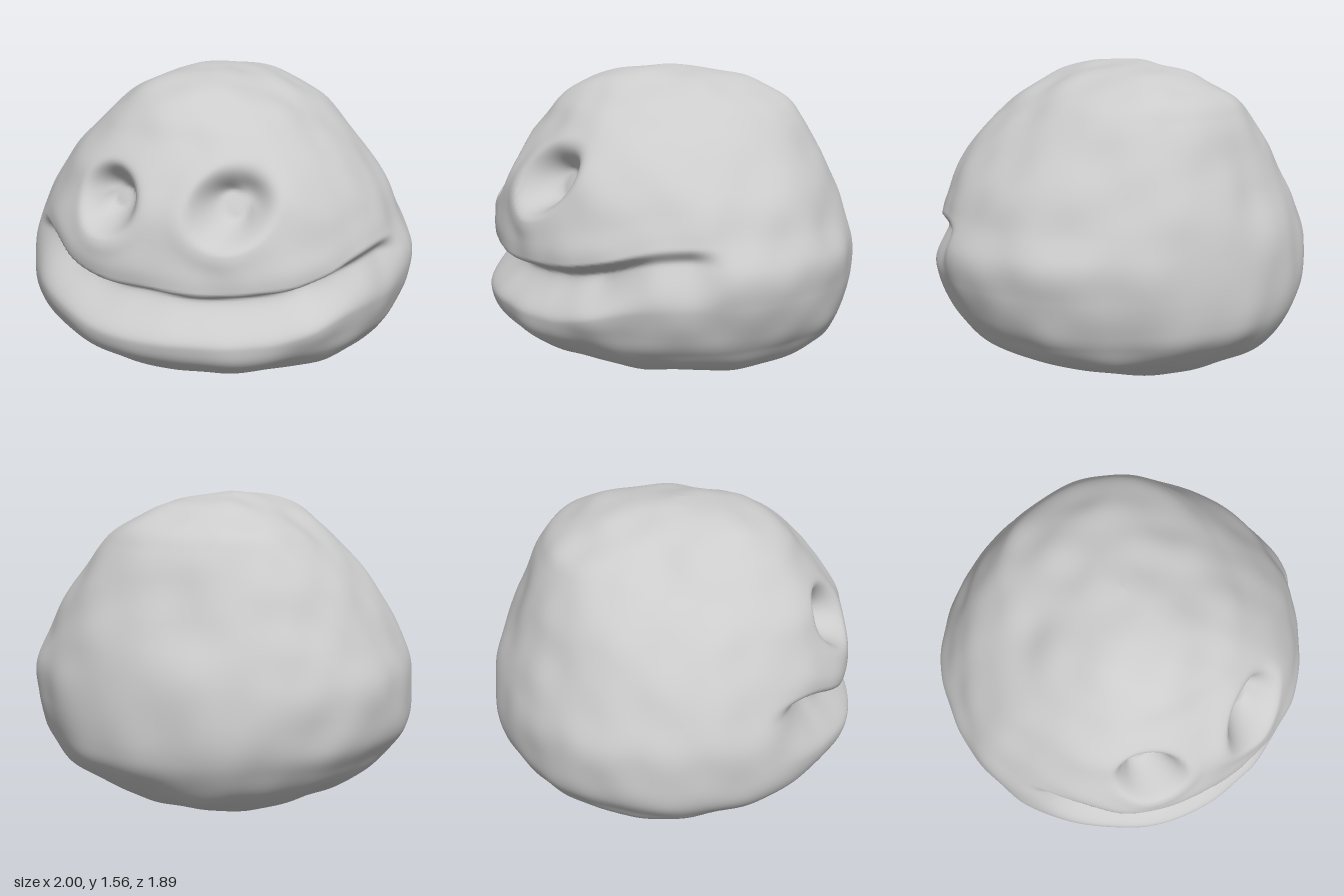
import * as THREE from 'three';

const { smoothstep } = THREE.MathUtils;

// Horizontal sections of the body: y, xMin, xMax, zMin, zMax
const SECTIONS = [
  [0.008, -0.1, -0.1, -0.15, -0.15],
  [0.015, -0.27, 0.05, -0.38, 0.15],
  [0.05, -0.48, 0.3, -0.57, 0.34],
  [0.12, -0.67, 0.57, -0.7, 0.53],
  [0.22, -0.84, 0.8, -0.82, 0.74],
  [0.32, -0.92, 0.89, -0.9, 0.88],
  [0.42, -0.98, 0.94, -0.93, 0.92],
  [0.55, -0.995, 0.98, -0.935, 0.935],
  [0.7, -0.98, 0.985, -0.92, 0.92],
  [0.85, -0.92, 0.91, -0.88, 0.91],
  [1.0, -0.84, 0.83, -0.81, 0.86],
  [1.15, -0.74, 0.71, -0.74, 0.78],
  [1.3, -0.6, 0.57, -0.67, 0.66],
  [1.4, -0.48, 0.45, -0.59, 0.57],
  [1.5, -0.3, 0.26, -0.4, 0.43],
  [1.548, -0.15, 0.09, -0.17, 0.23],
  [1.562, -0.03, -0.03, 0.05, 0.05],
];

// Eye sockets: centre, half width, half height, depth, direction of the sharp rim
const EYES = [
  { x: -0.27, y: 1.05, w: 0.165, h: 0.155, depth: 0.18, rim: [0.5, -0.87] },
  { x: 0.32, y: 1.06, w: 0.185, h: 0.175, depth: 0.18, rim: [-0.8, -0.6] },
];

const bump = (v, centre, width) => Math.exp(-(((v - centre) / width) ** 2));

// Outward offset from the mouth at angle a round the body (0 = front)
function mouthOffset(a, y) {
  const left = smoothstep(a, 0.55, 1.2);
  const right = smoothstep(-a, 0.15, 0.95);
  const line = 0.625 + 0.15 * right + 0.115 * left + 0.008 * Math.sin(9 * a + 2.5);
  const lip = 0.435 + 0.09 * right + 0.11 * left;
  const ends = smoothstep(a, -1.08, -0.6) * (1 - smoothstep(a, 1.3, 1.5));
  const depth = 0.13 - 0.07 * smoothstep(Math.abs(a), 0.8, 1.15);
  const groove = y > line
    ? 1 - smoothstep(y, line, line + 0.075)
    : smoothstep(y, lip, line);
  const lips = 0.025 * bump(y, lip - 0.03, 0.1) * (1 - left) + 0.01 * bump(y, line + 0.13, 0.07);
  return ends * (lips - depth * groove);
}

// Depth of the eye sockets, steeper along the rim direction
function eyeOffset(x, y, z) {
  if (z < 0) return 0;
  let offset = 0;
  for (const e of EYES) {
    const u = (x - e.x) / e.w;
    const v = (y - e.y) / e.h;
    const r = Math.hypot(u, v);
    const facing = (u * e.rim[0] + v * e.rim[1]) / Math.max(r, 0.001);
    const steep = smoothstep(facing, -0.6, 0.9);
    offset -= e.depth * (1 - smoothstep(r, 0.05 + 0.4 * steep, 1.15 - 0.1 * steep));
    offset += 0.012 * bump(r, 1.2, 0.3) * steep;
  }
  return offset;
}

// Hand-modelled unevenness: waves in directions spread over a sphere
const WAVES = Array.from({ length: 18 }, (_, k) => {
  const h = 1 - (2 * k + 1) / 18;
  const turn = k * 2.4;
  const s = Math.sqrt(1 - h * h);
  const order = (k * 7) % 18;
  return {
    dir: new THREE.Vector3(s * Math.cos(turn), h, s * Math.sin(turn)).multiplyScalar(6 + 1.5 * order),
    size: 0.0045 / (1 + 0.2 * order),
    phase: k * 1.7,
  };
});

function lumps(x, y, z) {
  return WAVES.reduce((sum, { dir, size, phase }) =>
    sum + size * Math.sin(dir.x * x + dir.y * y + dir.z * z + phase), 0);
}

function bodyGeometry(rows = 200, cols = 240) {
  const curve = (i, j) => new THREE.CatmullRomCurve3(
    SECTIONS.map((s) => new THREE.Vector3(s[0], s[i], s[j])), false, 'catmullrom', 0.5);
  const xCurve = curve(1, 2);
  const zCurve = curve(3, 4);
  const positions = [];
  const indices = [];

  for (let r = 0; r <= rows; r++) {
    const px = xCurve.getPoint(r / rows);
    const pz = zCurve.getPoint(r / rows);
    const y = px.x;
    const fullness = 0.03 * smoothstep(y, 0.75, 1.15);
    for (let c = 0; c < cols; c++) {
      const t = (c / cols) * Math.PI * 2;
      // The upper sections are slightly squarer than an ellipse
      const swell = 1 + fullness * Math.sin(2 * t) ** 2;
      let x = (px.y + px.z) / 2 + swell * Math.cos(t) * (px.z - px.y) / 2;
      let z = (pz.y + pz.z) / 2 + swell * Math.sin(t) * (pz.z - pz.y) / 2;
      const radius = Math.max(Math.hypot(x, z), 0.15);
      const eye = eyeOffset(x, y, z);
      const uneven = lumps(x, y, z);
      const push = 1 + (mouthOffset(Math.atan2(x, z), y) + uneven) / radius;
      x *= push;
      z = z * push + eye;
      positions.push(x, y + uneven * smoothstep(Math.abs(y - 0.78), 0.4, 0.75) * Math.sign(y - 0.78), z);
      if (r < rows) {
        const a = r * cols + c;
        const b = r * cols + (c + 1) % cols;
        indices.push(a, a + cols, b, b, a + cols, b + cols);
      }
    }
  }
  const geometry = new THREE.BufferGeometry();
  geometry.setAttribute('position', new THREE.Float32BufferAttribute(positions, 3));
  geometry.setIndex(indices);
  geometry.computeVertexNormals();
  return geometry;
}

export function createModel() {
  const group = new THREE.Group();
  group.name = 'roundCreature';
  const body = new THREE.Mesh(bodyGeometry(), new THREE.MeshStandardMaterial({ color: 0xcccccc }));
  body.name = 'bodyWithFace';
  group.add(body);
  return group;
}
